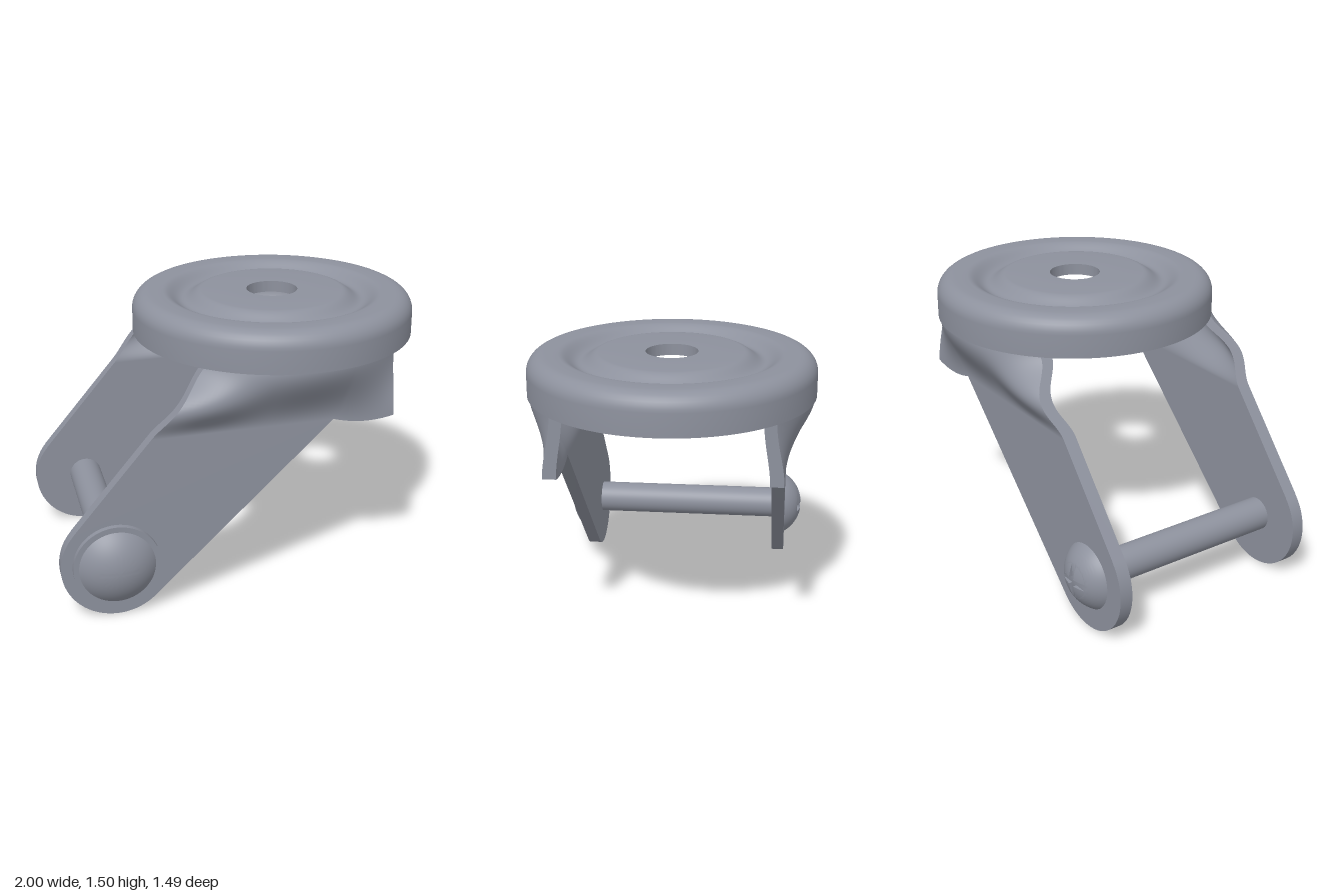
import * as THREE from 'three';
import { mergeGeometries, toCreasedNormals } from 'three/addons/utils/BufferGeometryUtils.js';
import { ParametricGeometry } from 'three/addons/geometries/ParametricGeometry.js';

const steel = new THREE.MeshStandardMaterial({ color: 0x8d919d, side: THREE.DoubleSide });
steel.name = 'steel grey';

const AXLE = { x: -0.715, y: 0.287 };
const DISC_X = 0.257, RIM = 0.743, RIM_Y = 1.29;
const { lerp, smoothstep } = THREE.MathUtils;

function add(parent, name, geometry) {
  const mesh = new THREE.Mesh(geometry, steel);
  mesh.name = name;
  parent.add(mesh);
  return mesh;
}

const patch = (f, nu, nv) => new ParametricGeometry((u, v, p) => p.copy(f(u, v)), nu, nv);

function lathe(points, segments = 96) {
  const g = new THREE.LatheGeometry(points.map(([r, y]) => new THREE.Vector2(r, y)), segments);
  return toCreasedNormals(g, 0.6);
}

// Pressed sheet disc: rounded rim, ring groove, centre hole, hollow underneath
function topDisc() {
  const groove = r => (r > 0.37 && r < 0.58 ? 0.025 * (1 - Math.cos((r - 0.37) / 0.21 * Math.PI * 2)) : 0);
  const pts = [[RIM, RIM_Y]];
  for (let i = 0; i <= 8; i++) {
    const a = i / 8 * Math.PI / 2;
    pts.push([0.653 + 0.09 * Math.cos(a), 1.41 + 0.09 * Math.sin(a)]);
  }
  const radii = [0.58];
  for (let i = 1; i <= 16; i++) radii.push(0.58 - 0.21 * i / 16);
  radii.push(0.135);
  radii.forEach(r => pts.push([r, 1.5 - groove(r)]));
  radii.reverse().forEach(r => pts.push([r, 1.44 - groove(r)]));
  pts.push([0.64, 1.44], [0.663, 1.43], [0.675, 1.40], [0.675, RIM_Y], [RIM, RIM_Y]);
  return lathe(pts);
}

// Flat lower arm with a round end
function armGeometry() {
  const s = new THREE.Shape();
  s.moveTo(0.42, 0.975);
  s.lineTo(-0.521, 0.958);
  s.lineTo(-0.932, 0.472);
  s.absarc(-0.715, 0.285, 0.285, 2.43, Math.PI * 2 - 0.81, false);
  s.closePath();
  const g = new THREE.ExtrudeGeometry(s, { depth: 0.07, bevelEnabled: false, curveSegments: 40 });
  g.translate(0, 0, 0.525);
  return toCreasedNormals(g, 0.6);
}

// Upper arm: flares from the flat plate to the curve of the rim
function flarePoint(u, v, outer) {
  const x0 = lerp(-0.521, 0.743, u), xTop = lerp(-0.24, 0.743, u);
  const dip = Math.max(0, (x0 - 0.42) / 0.323);
  const y0 = dip > 0 ? 0.975 - 0.09 * dip * (1 - dip) - 0.01 * dip : lerp(0.958, 0.975, (x0 + 0.521) / 0.941);
  const x = lerp(x0, xTop, v);
  const s = smoothstep(v, 0, 1);
  const r = outer ? 0.735 : 0.69;
  const rimZ = Math.sqrt(r * r - (xTop - DISC_X) ** 2);
  const bulge = 0.28 * s * (1 - s) * (1 - smoothstep(x, -0.35, 0.1));
  return new THREE.Vector3(x, lerp(y0, RIM_Y, v), lerp(outer ? 0.595 : 0.525, rimZ, s) + bulge);
}

function flareGeometry() {
  const edge = (u, v, t) => flarePoint(u, v, true).lerp(flarePoint(u, v, false), t);
  return mergeGeometries([
    patch((u, v) => flarePoint(u, v, true), 43, 24),
    patch((u, v) => flarePoint(1 - u, v, false), 43, 24),
    patch((u, v) => edge(u, 1, v), 43, 1),
    patch((u, v) => edge(u, 0, 1 - v), 43, 1),
    patch((u, v) => edge(1, u, 1 - v), 24, 1),
    patch((u, v) => edge(0, u, v), 24, 1),
  ]);
}

// Spherical cap profile running from the base radius up to an inner radius
function capProfile(radius, height, stop = 0) {
  const R = (radius ** 2 + height ** 2) / (2 * height);
  const a0 = Math.asin(radius / R), a1 = Math.asin(stop / R);
  return Array.from({ length: 15 }, (_, i) => {
    const a = lerp(a0, a1, i / 14);
    return [R * Math.sin(a), R * Math.cos(a) - R + height];
  });
}

// Screw head with a cross recess, built along +y
function screwHead() {
  const head = new THREE.Group();
  head.name = 'screwHead';
  const radius = 0.174, height = 0.097, w = 0.018, stop = 0.09;
  const R = (radius ** 2 + height ** 2) / (2 * height);
  const dome = (x, z) => Math.sqrt(R * R - x * x - z * z) - R + height;
  const floor = dome(stop, 0);
  add(head, 'screwDome', lathe([...capProfile(radius, height, stop), [0, floor]], 64));
  const a0 = Math.asin(w / stop), end = Math.sqrt(stop * stop - w * w);
  const raised = mergeGeometries([
    patch((u, v) => {
      const a = lerp(a0, Math.PI / 2 - a0, u);
      const x = lerp(w, stop * Math.cos(a), v), z = lerp(w, stop * Math.sin(a), v);
      return new THREE.Vector3(x, dome(x, z), z);
    }, 10, 6),
    patch((u, v) => {
      const z = lerp(w, end, u);
      return new THREE.Vector3(w, lerp(floor, dome(w, z), v), z);
    }, 8, 1),
    patch((u, v) => {
      const x = lerp(end, w, u);
      return new THREE.Vector3(x, lerp(floor, dome(x, w), v), w);
    }, 8, 1),
  ]);
  for (let i = 0; i < 4; i++) add(head, 'screwQuarter', raised).rotation.y = i * Math.PI / 2;
  return head;
}

export function createModel() {
  const model = new THREE.Group();
  model.name = 'casterFork';

  add(model, 'topDisc', topDisc()).position.x = DISC_X;

  // Two mirrored legs
  const arm = armGeometry(), flare = flareGeometry();
  for (const side of [1, -1]) {
    const leg = new THREE.Group();
    leg.name = side > 0 ? 'frontLeg' : 'backLeg';
    add(leg, 'arm', arm);
    add(leg, 'flare', flare);
    leg.scale.z = side;
    model.add(leg);
  }

  // Axle with its two heads
  const axle = add(model, 'axle', new THREE.CylinderGeometry(0.089, 0.089, 1.1, 48));
  axle.rotation.x = Math.PI / 2;
  axle.position.set(AXLE.x, AXLE.y, 0);

  const cap = capProfile(0.197, 0.085).map(([r, y]) => [r, y + 0.03]);
  const rivet = add(model, 'rivetHead', lathe([[0, 0], [0.226, 0], [0.226, 0.03], ...cap], 64));
  rivet.rotation.x = Math.PI / 2;
  rivet.position.set(AXLE.x, AXLE.y, 0.595);

  const screw = screwHead();
  screw.rotation.x = -Math.PI / 2;
  screw.position.set(AXLE.x, AXLE.y, -0.595);
  model.add(screw);

  return model;
}
